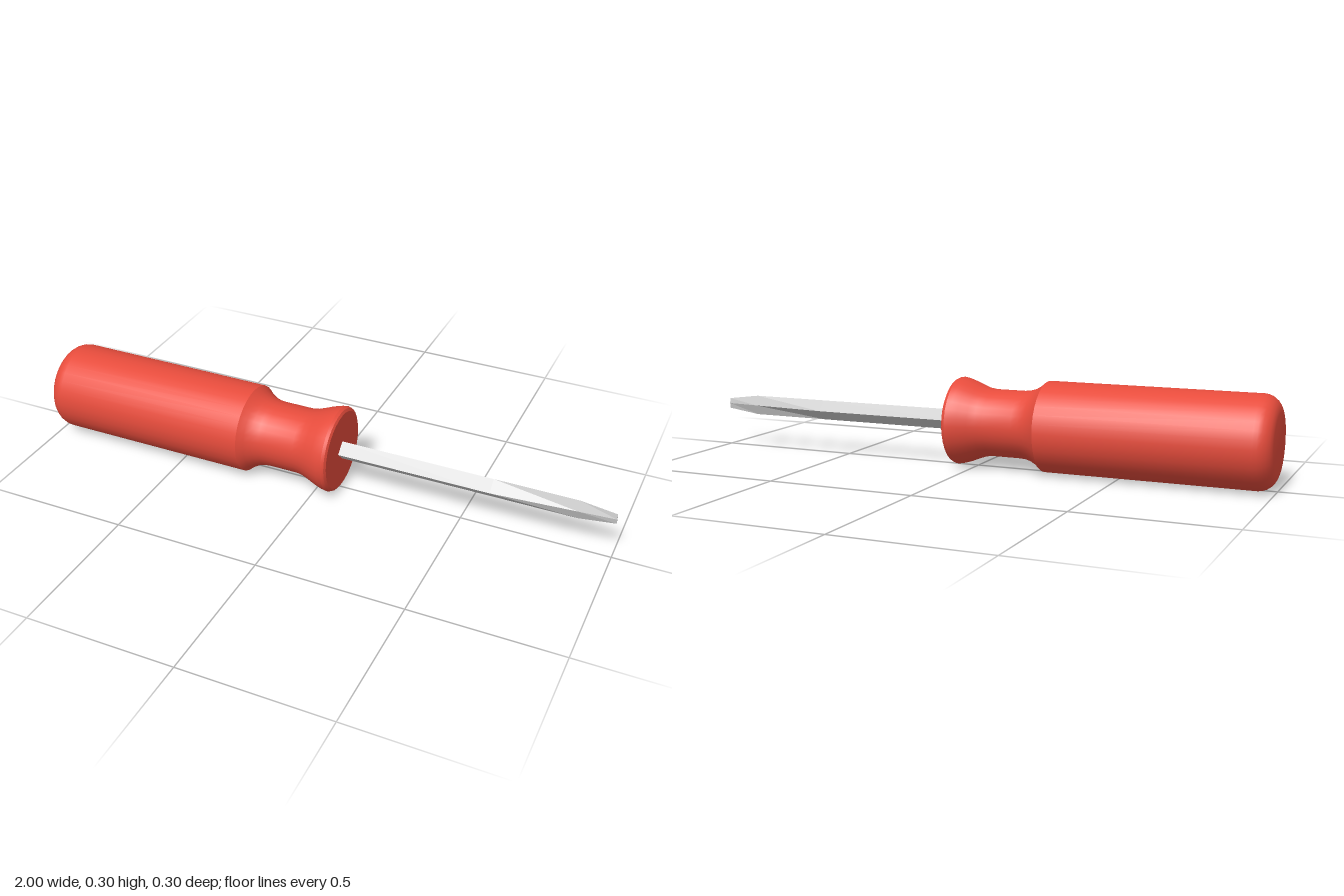
import * as THREE from 'three';
import { toCreasedNormals } from 'three/addons/utils/BufferGeometryUtils.js';

const AXIS_Y = 0.15;

// Turned handle: profile of [x along the axis, radius], revolved round x
function makeHandle() {
  const profile = [[-1, 0]];
  // rounded butt end
  const fillet = 0.055, steps = 6;
  for (let i = 0; i <= steps; i++) {
    const a = (i / steps) * Math.PI / 2;
    profile.push([-1 + fillet * (1 - Math.sin(a)), 0.15 - fillet * (1 - Math.cos(a))]);
  }
  // profile order: flat end first, then round up to the full radius
  const arc = profile.splice(1).map((p, i) => {
    const a = (i / steps) * Math.PI / 2;
    return [-1 + fillet * (1 - Math.cos(a)), 0.15 - fillet * (1 - Math.sin(a))];
  });
  profile.push(...arc,
    // grip, then the hollow neck
    [-0.25, 0.15], [-0.23, 0.133], [-0.208, 0.121], [-0.185, 0.114], [-0.16, 0.112],
    [-0.06, 0.112], [-0.035, 0.116], [-0.01, 0.125], [0.02, 0.137], [0.042, 0.144], [0.06, 0.147],
    // bevelled collar and flat front
    [0.07, 0.143], [0.075, 0.134], [0.075, 0]);
  const geometry = new THREE.LatheGeometry(profile.map(([x, r]) => new THREE.Vector2(r, x)), 32);
  geometry.rotateZ(-Math.PI / 2);
  return toCreasedNormals(geometry, 0.5);
}

// Square shaft set on edge: diamond sections [x, half height, half depth]
function makeShaft() {
  const sections = [
    [0.05, 0.034, 0.034], [0.6, 0.034, 0.034], [0.88, 0.034, 0.0125], [1, 0.018, 0.003],
  ];
  const positions = [], index = [];
  for (const [x, h, d] of sections) {
    positions.push(x, h, 0, x, 0, d, x, -h, 0, x, 0, -d);
  }
  for (let s = 0; s < sections.length - 1; s++) {
    for (let k = 0; k < 4; k++) {
      const a = s * 4 + k, b = s * 4 + (k + 1) % 4;
      index.push(a, b, b + 4, a, b + 4, a + 4);
    }
  }
  // end caps
  const e = (sections.length - 1) * 4;
  index.push(0, 2, 1, 0, 3, 2, e, e + 1, e + 2, e, e + 2, e + 3);
  const geometry = new THREE.BufferGeometry();
  geometry.setAttribute('position', new THREE.Float32BufferAttribute(positions, 3));
  geometry.setIndex(index);
  const flat = geometry.toNonIndexed();
  flat.computeVertexNormals();
  return flat;
}

export function createModel() {
  const model = new THREE.Group();
  model.name = 'screwdriver';
  const addPart = (name, geometry, material) => {
    const mesh = new THREE.Mesh(geometry, material);
    mesh.name = name;
    mesh.position.y = AXIS_Y;
    model.add(mesh);
  };
  addPart('handle', makeHandle(), new THREE.MeshStandardMaterial({ color: 0xe74c3c }));
  addPart('shaft', makeShaft(), new THREE.MeshStandardMaterial({ color: 0xcccccc, flatShading: true }));
  return model;
}
